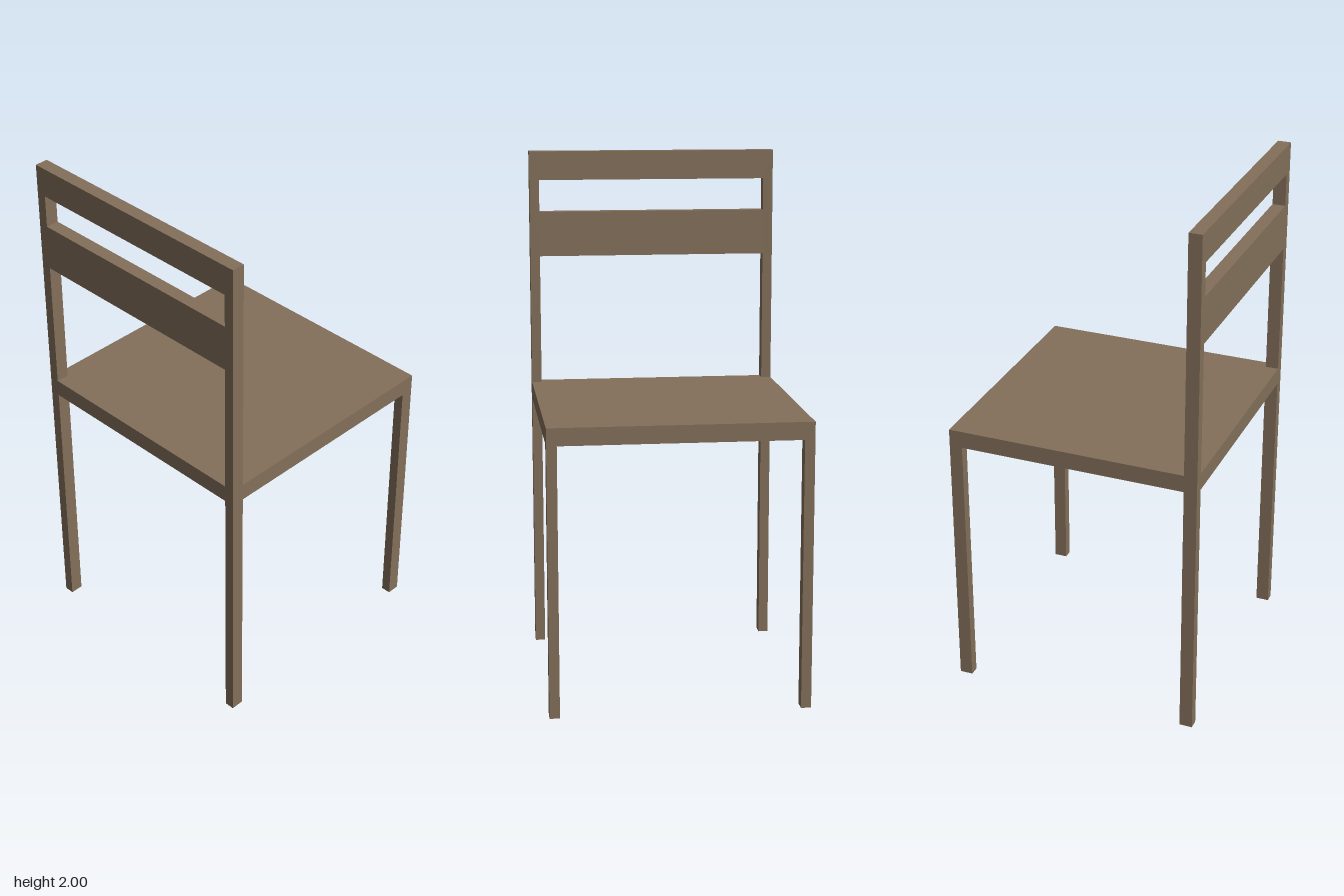
import * as THREE from 'three';

export function createModel() {
  const chair = new THREE.Group();
  chair.name = 'chair';
  const wood = new THREE.MeshStandardMaterial({ color: 0x836f5a });
  wood.name = 'brown wood';

  const half = 0.485;          // half of the width and depth
  const postW = 0.038, postD = 0.05;
  const seatBottom = 1.016, seatTop = 1.082;
  const inner = half - postW;

  function add(name, geometry, x, y, z) {
    const mesh = new THREE.Mesh(geometry, wood);
    mesh.name = name;
    mesh.position.set(x, y, z);
    chair.add(mesh);
  }

  // Back frame: posts, seat rail and two slats cut from one board
  const frame = new THREE.Shape([
    [-half, 0], [-inner, 0], [-inner, seatBottom], [inner, seatBottom],
    [inner, 0], [half, 0], [half, 2], [-half, 2],
  ].map(([x, y]) => new THREE.Vector2(x, y)));
  for (const [low, high] of [[seatTop, 1.588], [1.763, 1.888]]) {
    frame.holes.push(new THREE.Path([
      [-inner, low], [-inner, high], [inner, high], [inner, low],
    ].map(([x, y]) => new THREE.Vector2(x, y))));
  }
  add('backFrame', new THREE.ExtrudeGeometry(frame, { depth: postD, bevelEnabled: false }),
    0, 0, half - postD);

  // Seat board, meeting the back frame
  add('seat', new THREE.BoxGeometry(half * 2, seatTop - seatBottom, half * 2 - postD),
    0, (seatTop + seatBottom) / 2, -postD / 2);

  // Legs at the open edge of the seat
  for (const side of [-1, 1]) {
    add(side > 0 ? 'leftLeg' : 'rightLeg', new THREE.BoxGeometry(postW, seatBottom, postD),
      side * (half - postW / 2), seatBottom / 2, -half + postD / 2);
  }
  return chair;
}
